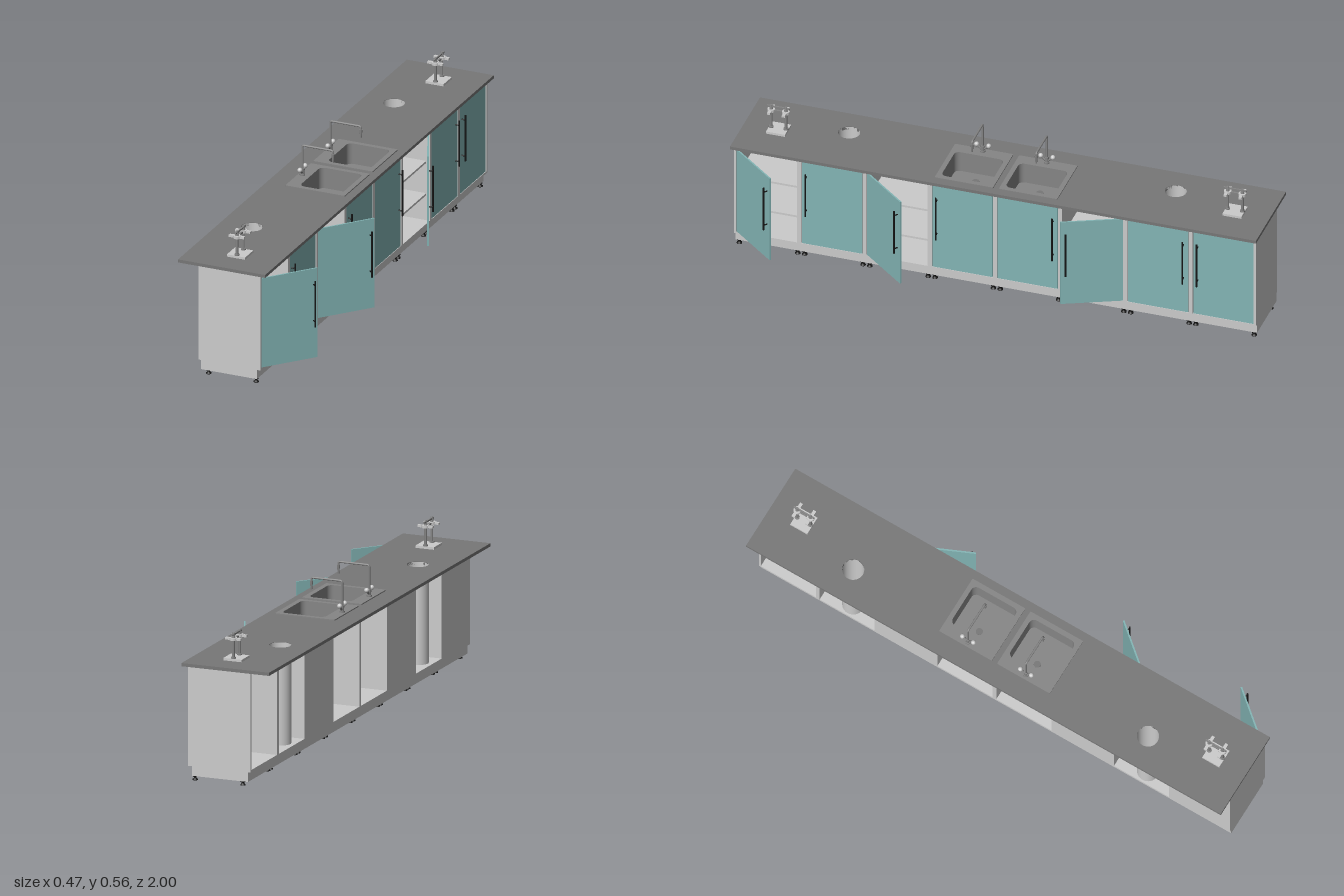
import * as THREE from 'three';

const mat = (color) => new THREE.MeshStandardMaterial({ color });
const GREY = mat(0xcccccc), TOP = mat(0x777777), STEEL = mat(0x858585), TEAL = mat(0x83b5b5), BLACK = mat(0x151515);
const BIN = new THREE.MeshStandardMaterial({ color: 0xcccccc, side: THREE.DoubleSide });

function add(parent, name, geo, material, x = 0, y = 0, z = 0) {
  const m = new THREE.Mesh(geo, material);
  m.name = name;
  m.position.set(x, y, z);
  parent.add(m);
  return m;
}
// Box given by its min and max on each axis
function box(parent, name, material, x0, x1, y0, y1, z0, z1) {
  return add(parent, name, new THREE.BoxGeometry(x1 - x0, y1 - y0, z1 - z0), material,
    (x0 + x1) / 2, (y0 + y1) / 2, (z0 + z1) / 2);
}
// Upright cylinder from y0 to y1
function rod(parent, name, material, r, x, y0, y1, z, rTop = r) {
  return add(parent, name, new THREE.CylinderGeometry(rTop, r, y1 - y0, 20), material, x, (y0 + y1) / 2, z);
}
// Rounded rectangle in x and z
function rounded(Type, x0, x1, z0, z1, r) {
  const s = new Type();
  s.moveTo(x0 + r, z0);
  s.lineTo(x1 - r, z0);
  s.absarc(x1 - r, z0 + r, r, -Math.PI / 2, 0);
  s.lineTo(x1, z1 - r);
  s.absarc(x1 - r, z1 - r, r, 0, Math.PI / 2);
  s.lineTo(x0 + r, z1);
  s.absarc(x0 + r, z1 - r, r, Math.PI / 2, Math.PI);
  s.lineTo(x0, z0 + r);
  s.absarc(x0 + r, z0 + r, r, Math.PI, Math.PI * 1.5);
  return s;
}
// Horizontal slab hanging down from height top
function slab(parent, name, material, shape, top, thick) {
  const g = new THREE.ExtrudeGeometry(shape, { depth: thick, bevelEnabled: false, curveSegments: 16 });
  g.rotateX(Math.PI / 2);
  return add(parent, name, g, material, 0, top, 0);
}

const PITCH = 0.248, WALL = 0.008, DOOR_W = 0.228;
const BIN_X = -0.114, BIN_R = 0.04;
const BASIN = [-0.11, 0.058, -0.093, 0.093];

function door(parent, zc, dir, open) {
  const g = new THREE.Group();
  g.name = 'door';
  g.position.set(0.083, 0, zc - dir * DOOR_W / 2);
  g.rotation.y = dir * open;
  const mid = dir * DOOR_W / 2;
  box(g, 'doorPanel', TEAL, -0.003, 0.003, 0.061, 0.411, mid - DOOR_W / 2, mid + DOOR_W / 2);
  const hz = dir * 0.211;
  rod(g, 'handleBar', BLACK, 0.0032, 0.018, 0.187, 0.367, hz);
  for (const y of [0.207, 0.349]) {
    const post = add(g, 'handlePost', new THREE.CylinderGeometry(0.0025, 0.0025, 0.016, 10), BLACK, 0.01, y, hz);
    post.rotation.z = Math.PI / 2;
  }
  parent.add(g);
}

function cabinet(parent, zc, { dir, open = 0, shelves = false }) {
  const g = new THREE.Group();
  g.name = 'cabinet';
  const a = zc - PITCH / 2, b = zc + PITCH / 2;
  box(g, 'sidePanel', GREY, -0.158, 0.088, 0.053, 0.424, a, a + WALL);
  box(g, 'sidePanel', GREY, -0.158, 0.088, 0.053, 0.424, b - WALL, b);
  box(g, 'floorPanel', GREY, -0.158, 0.088, 0.053, 0.061, a + WALL, b - WALL);
  box(g, 'topRail', GREY, 0.066, 0.088, 0.412, 0.424, a + WALL, b - WALL);
  box(g, 'plinth', GREY, -0.134, 0.073, 0.017, 0.053, a, b);
  box(g, 'backPlinthBoard', GREY, -0.148, -0.134, 0.017, 0.053, a, b);
  if (shelves) {
    box(g, 'backPanel', GREY, -0.158, -0.152, 0.061, 0.424, a + WALL, b - WALL);
    for (const y of [0.163, 0.29])
      box(g, 'shelf', GREY, -0.152, 0.074, y - 0.004, y + 0.004, a + WALL, b - WALL);
  }
  // Flared feet
  const foot = [[0, 0], [0.01, 0], [0.01, 0.003], [0.005, 0.006], [0.005, 0.011], [0.009, 0.013], [0.009, 0.017]]
    .map(([x, y]) => new THREE.Vector2(x, y));
  for (const x of [-0.123, 0.065])
    for (const z of [a + 0.013, b - 0.013]) add(g, 'foot', new THREE.LatheGeometry(foot, 14), BLACK, x, 0, z);
  door(g, zc, dir, open);
  parent.add(g);
}

function sink(parent, zc) {
  const g = new THREE.Group();
  g.name = 'sink';
  g.position.z = zc;
  const [x0, x1, z0, z1] = BASIN;
  const plate = rounded(THREE.Shape, -0.158, 0.077, -0.111, 0.111, 0.004);
  plate.holes.push(rounded(THREE.Path, x0, x1, z0, z1, 0.02));
  slab(g, 'sinkRim', STEEL, plate, 0.44, 0.004);
  const wall = rounded(THREE.Shape, x0 - 0.003, x1 + 0.003, z0 - 0.003, z1 + 0.003, 0.023);
  wall.holes.push(rounded(THREE.Path, x0, x1, z0, z1, 0.02));
  slab(g, 'basinWall', STEEL, wall, 0.4365, 0.08);
  slab(g, 'basinFloor', STEEL, rounded(THREE.Shape, x0 - 0.003, x1 + 0.003, z0 - 0.003, z1 + 0.003, 0.023), 0.36, 0.004);
  rod(g, 'drain', TOP, 0.013, -0.06, 0.359, 0.362, 0);

  // Faucet: square-bent spout, nozzle, two splayed levers
  const path = new THREE.CurvePath();
  const v = (x, y) => new THREE.Vector3(x, y, 0);
  path.add(new THREE.LineCurve3(v(-0.14, 0.44), v(-0.14, 0.549)));
  path.add(new THREE.QuadraticBezierCurve3(v(-0.14, 0.549), v(-0.14, 0.557), v(-0.132, 0.557)));
  path.add(new THREE.LineCurve3(v(-0.132, 0.557), v(-0.027, 0.557)));
  path.add(new THREE.QuadraticBezierCurve3(v(-0.027, 0.557), v(-0.019, 0.557), v(-0.019, 0.549)));
  path.add(new THREE.LineCurve3(v(-0.019, 0.549), v(-0.019, 0.535)));
  add(g, 'spout', new THREE.TubeGeometry(path, 90, 0.004, 12), STEEL);
  rod(g, 'nozzle', STEEL, 0.003, -0.019, 0.513, 0.545, 0, 0.006);
  rod(g, 'faucetBase', STEEL, 0.01, -0.14, 0.44, 0.446, 0);
  rod(g, 'faucetBody', STEEL, 0.007, -0.14, 0.446, 0.466, 0);
  for (const s of [-1, 1]) {
    const arm = add(g, 'lever', new THREE.CylinderGeometry(0.004, 0.004, 0.03, 12), STEEL, -0.14, 0.457, s * 0.011);
    arm.rotation.x = s * 0.85;
    add(g, 'leverKnob', new THREE.SphereGeometry(0.009, 18, 12), GREY, -0.14, 0.468, s * 0.023);
  }
  parent.add(g);
}

// Twin-column outlet standing near each end of the worktop
function outlet(parent, zc) {
  const g = new THREE.Group();
  g.name = 'outlet';
  g.position.set(-0.049, 0, zc);
  box(g, 'outletBase', GREY, -0.036, 0.036, 0.436, 0.445, -0.036, 0.036);
  for (const s of [-1, 1]) {
    const z = s * 0.028;
    rod(g, 'columnCollar', STEEL, 0.009, 0, 0.445, 0.45, z);
    rod(g, 'column', STEEL, 0.005, 0, 0.45, 0.518, z);
    rod(g, 'valveHead', GREY, 0.014, 0, 0.513, 0.523, z);
    box(g, 'valveArm', GREY, -0.03, 0.03, 0.514, 0.522, z - 0.006, z + 0.006);
    rod(g, 'valveKnob', STEEL, 0.007, 0, 0.523, 0.541, z, 0.004);
  }
  box(g, 'crossBar', STEEL, -0.003, 0.003, 0.531, 0.537, -0.043, 0.043);
  box(g, 'lowerBar', STEEL, -0.004, 0.004, 0.515, 0.521, -0.038, 0.038);
  parent.add(g);
}

export function createModel() {
  const model = new THREE.Group();
  model.name = 'laboratoryBench';

  // Cabinets from the +z end to the -z end; dir points from hinge to handle
  const units = [
    { dir: -1, open: 0.698, shelves: true }, { dir: 1 },
    { dir: -1, open: 0.698, shelves: true }, { dir: 1 },
    { dir: -1 }, { dir: 1, open: 0.42, shelves: true },
    { dir: -1 }, { dir: 1 },
  ];
  units.forEach((u, i) => cabinet(model, (3.5 - i) * PITCH, u));

  // Worktop with openings for the basins and waste bins
  const top = rounded(THREE.Shape, -0.235, 0.11, -1, 1, 0.001);
  for (const s of [-1, 1]) {
    const [x0, x1, z0, z1] = BASIN, zc = s * 0.122;
    top.holes.push(rounded(THREE.Path, x0 - 0.003, x1 + 0.003, zc + z0 - 0.003, zc + z1 + 0.003, 0.023));
    const hole = new THREE.Path();
    hole.absarc(BIN_X, s * 0.621, BIN_R, 0, Math.PI * 2);
    top.holes.push(hole);

    sink(model, zc);
    outlet(model, s * 0.868);
    const bin = [[0, 0.07], [BIN_R, 0.07], [BIN_R, 0.07], [BIN_R, 0.435]].map(([x, y]) => new THREE.Vector2(x, y));
    add(model, 'wasteBin', new THREE.LatheGeometry(bin, 32), BIN, BIN_X, 0, s * 0.621);
  }
  slab(model, 'worktop', TOP, top, 0.436, 0.012);
  return model;
}
